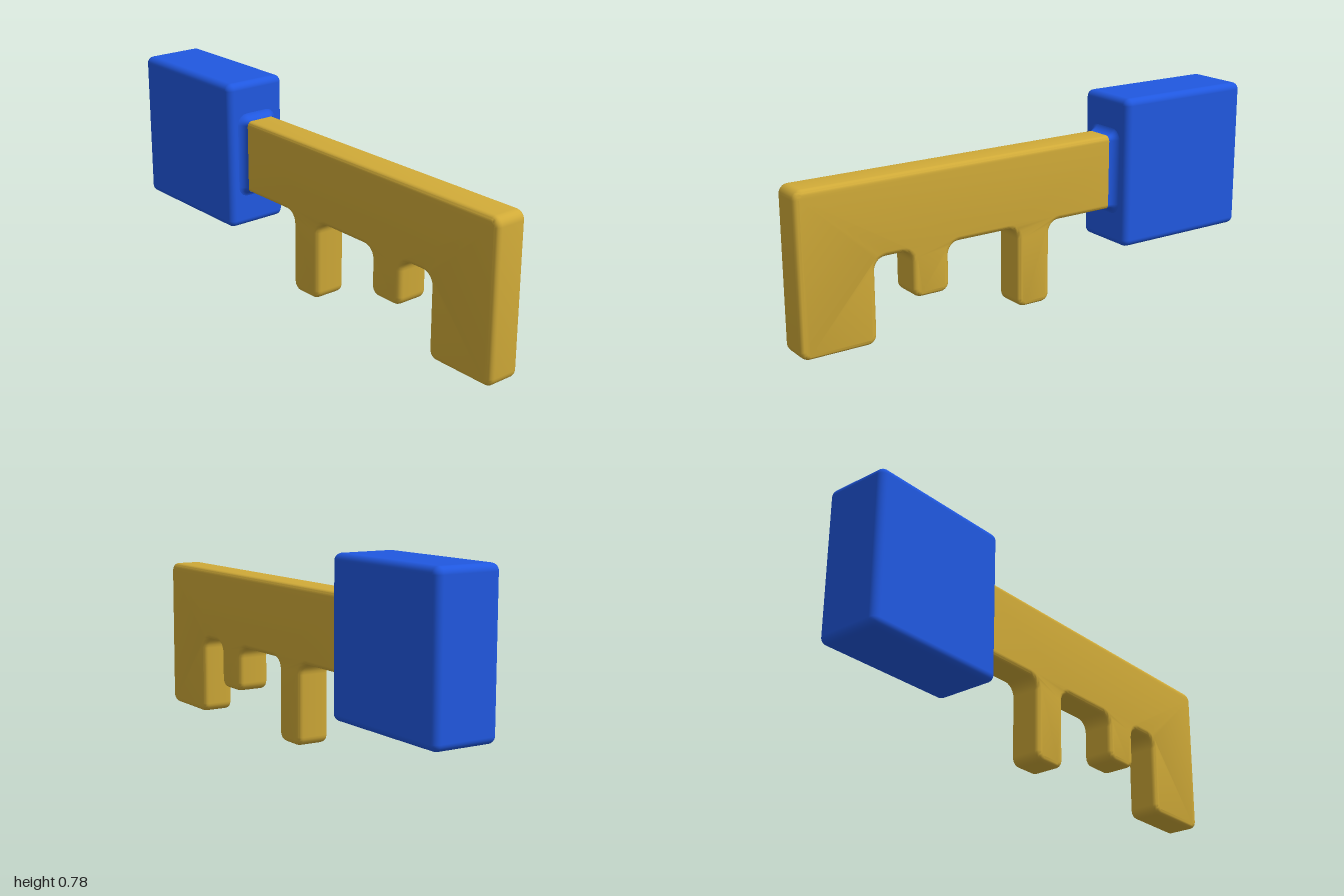
import * as THREE from 'three';
import { toCreasedNormals } from 'three/addons/utils/BufferGeometryUtils.js';
import { RoundedBoxGeometry } from 'three/addons/geometries/RoundedBoxGeometry.js';

const blue = new THREE.MeshStandardMaterial({ color: 0x2058e0 });
const gold = new THREE.MeshStandardMaterial({ color: 0xd1ab38 });

// Closed outline through corners [x, y, radius], each corner rounded
function roundedOutline(corners) {
  const shape = new THREE.Shape();
  const n = corners.length;
  corners.forEach(([x, y, r], i) => {
    const p = new THREE.Vector2(x, y);
    const towards = ([qx, qy]) =>
      new THREE.Vector2(qx, qy).sub(p).setLength(r).add(p);
    const a = towards(corners[(i + n - 1) % n]);
    const b = towards(corners[(i + 1) % n]);
    if (i === 0) shape.moveTo(a.x, a.y);
    else shape.lineTo(a.x, a.y);
    // cubic handles approximating a circular arc
    const c = a.clone().lerp(p, 0.552), d = b.clone().lerp(p, 0.552);
    shape.bezierCurveTo(c.x, c.y, d.x, d.y, b.x, b.y);
  });
  shape.closePath();
  return shape;
}

// Concave flare joining the blade to the handle, swept along x
function collarGeometry(x0, flare, cy, halfY, halfZ) {
  const steps = 8, arc = 5, positions = [], index = [];
  const ring = 4 * (arc + 1);
  for (let s = 0; s <= steps; s++) {
    const t = (s / steps) * Math.PI / 2;
    const x = x0 + flare * (1 - Math.sin(t));
    const grow = flare * (1 - Math.cos(t));
    const r = 0.02 + grow;
    for (let q = 0; q < 4; q++) {
      const sz = q === 0 || q === 3 ? 1 : -1, sy = q < 2 ? 1 : -1;
      for (let k = 0; k <= arc; k++) {
        const a = (q + k / arc) * Math.PI / 2;
        positions.push(x,
          cy + sy * (halfY + grow - r) + r * Math.sin(a),
          sz * (halfZ + grow - r) + r * Math.cos(a));
      }
    }
  }
  for (let s = 0; s < steps; s++) {
    for (let k = 0; k < ring; k++) {
      const a = s * ring + k, b = s * ring + (k + 1) % ring;
      index.push(a, b, a + ring, b, b + ring, a + ring);
    }
  }
  const g = new THREE.BufferGeometry();
  g.setAttribute('position', new THREE.Float32BufferAttribute(positions, 3));
  g.setIndex(index);
  g.computeVertexNormals();
  return g;
}

export function createModel() {
  const model = new THREE.Group();
  const add = (name, geometry, material) => {
    const mesh = new THREE.Mesh(geometry, material);
    mesh.name = name;
    model.add(mesh);
    return mesh;
  };

  // Block handle
  add('handle', new RoundedBoxGeometry(0.605, 0.606, 0.268, 4, 0.028), blue)
    .position.set(-0.6975, 0.475, 0);

  // Blade with three teeth, softened all round
  const top = 0.625, notch = 0.325, convex = 0.035, concave = 0.045;
  const teeth = [[-0.075, 0.075, 0], [0.385, 0.54, 0.14], [0.695, 1, 0]];
  const corners = [[-0.46, top, 0.01], [-0.46, notch, 0.01]];
  teeth.forEach(([left, right, bottom], i) => {
    corners.push([left, notch, concave], [left, bottom, convex], [right, bottom, convex]);
    if (i < teeth.length - 1) corners.push([right, notch, concave]);
  });
  corners.push([1, top, convex]);
  const bevel = 0.02, thickness = 0.134;
  const blade = new THREE.ExtrudeGeometry(roundedOutline(corners), {
    depth: thickness - 2 * bevel, curveSegments: 6, bevelEnabled: true,
    bevelThickness: bevel, bevelSize: bevel, bevelOffset: -bevel, bevelSegments: 4,
  });
  blade.translate(0, 0, bevel - thickness / 2);
  add('bladeWithTeeth', toCreasedNormals(blade, 0.6), gold);

  // Flared collar
  const collar = add('collar', collarGeometry(-0.397, 0.035, 0.475, 0.151, 0.068), blue);
  collar.material = blue.clone();
  collar.material.side = THREE.DoubleSide;

  return model;
}
